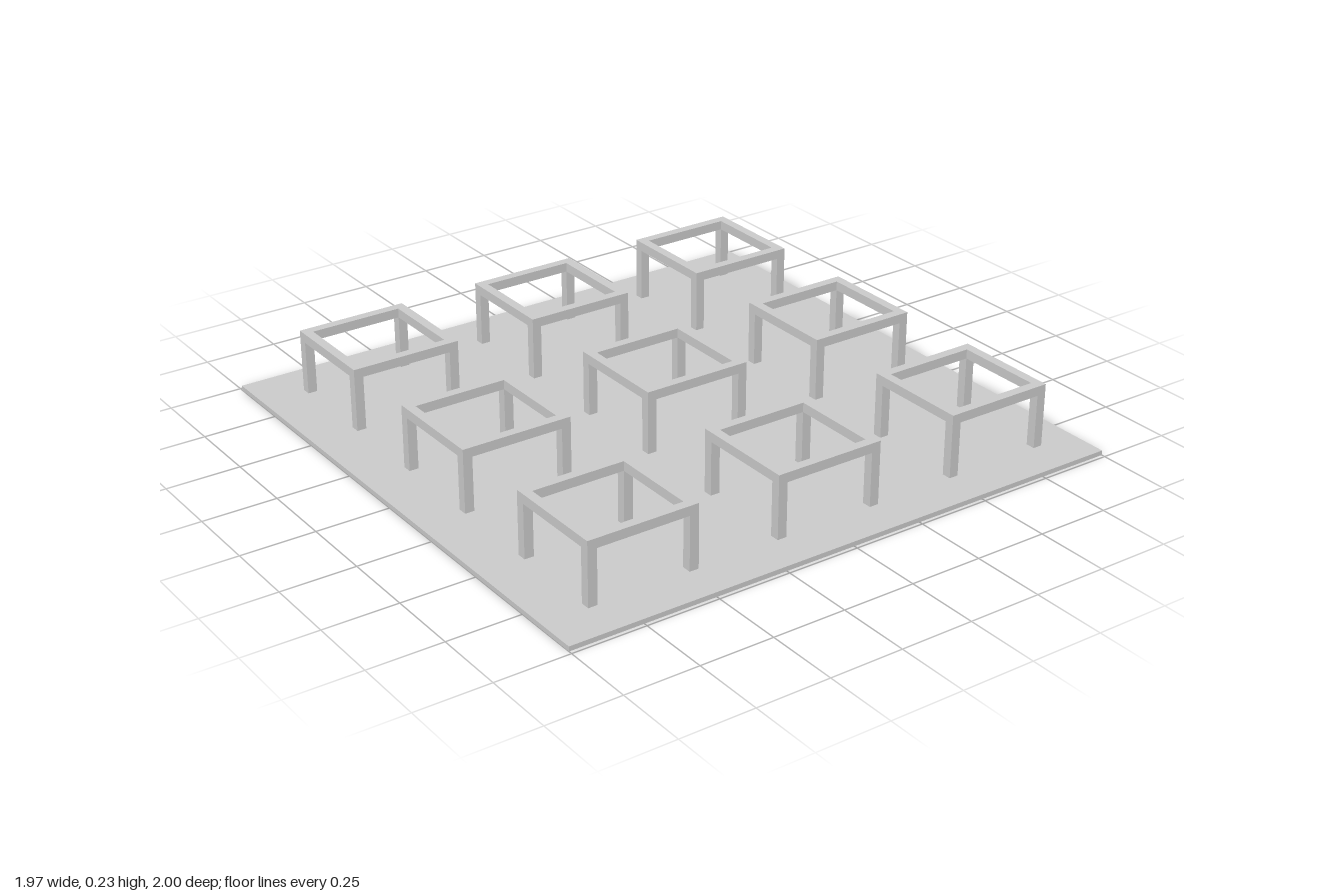
import * as THREE from 'three';

const material = new THREE.MeshStandardMaterial({ color: 0xcccccc, flatShading: true });

const PLATE = { w: 1.974, h: 0.016, d: 2 };
const FRAME = { w: 0.364, d: 0.381, top: 0.231, bar: 0.032 };

function rectangle(Type, w, d) {
  return new Type([
    new THREE.Vector2(-w / 2, -d / 2), new THREE.Vector2(w / 2, -d / 2),
    new THREE.Vector2(w / 2, d / 2), new THREE.Vector2(-w / 2, d / 2),
  ]);
}

// Square ring of rails, lying flat with its underside at y = 0
function railGeometry() {
  const { w, d, bar } = FRAME;
  const shape = rectangle(THREE.Shape, w, d);
  shape.holes.push(rectangle(THREE.Path, w - 2 * bar, d - 2 * bar));
  return new THREE.ExtrudeGeometry(shape, { depth: bar, bevelEnabled: false }).rotateX(-Math.PI / 2);
}

export function createModel() {
  const model = new THREE.Group();
  model.name = 'tableFramesOnBase';

  // Thin base plate
  const base = new THREE.Mesh(new THREE.BoxGeometry(PLATE.w, PLATE.h, PLATE.d), material);
  base.name = 'basePlate';
  base.position.y = PLATE.h / 2;
  model.add(base);

  const { w, d, top, bar } = FRAME;
  const legHeight = top - bar - PLATE.h;
  const railGeo = railGeometry();
  const legGeo = new THREE.BoxGeometry(bar, legHeight, bar);

  // Three by three grid of open frames
  for (const x of [-0.659, 0.005, 0.669]) {
    for (const z of [-0.677, -0.011, 0.656]) {
      const frame = new THREE.Group();
      frame.name = 'tableFrame';
      frame.position.set(x, PLATE.h, z);

      const rails = new THREE.Mesh(railGeo, material);
      rails.name = 'topRails';
      rails.position.y = legHeight;
      frame.add(rails);

      // Corner legs
      for (const sx of [-1, 1]) {
        for (const sz of [-1, 1]) {
          const leg = new THREE.Mesh(legGeo, material);
          leg.name = 'leg';
          leg.position.set(sx * (w - bar) / 2, legHeight / 2, sz * (d - bar) / 2);
          frame.add(leg);
        }
      }
      model.add(frame);
    }
  }
  return model;
}
